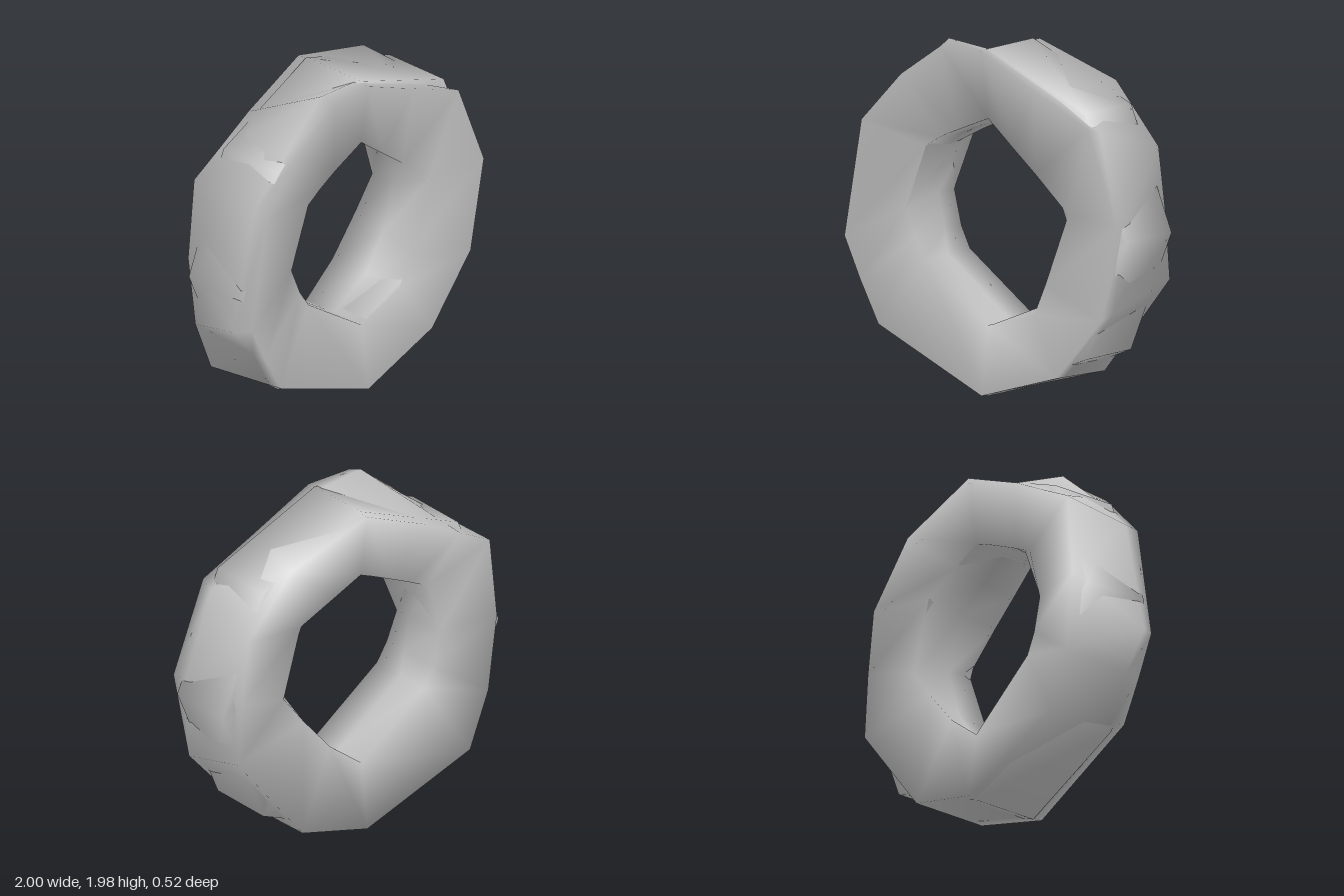
import * as THREE from 'three';

// Closed ring from cross-sections with equally many corners, listed from
// front outer through back outer and back inner to front inner.
function ring(name, sections, material) {
  const n = sections.length, s = sections[0].length;
  const index = [];
  for (let k = 0; k < n; k++) {
    const m = (k + 1) % n;
    for (let j = 0; j < s; j++) {
      const i = (j + 1) % s;
      const a = k * s + j, b = k * s + i, c = m * s + i, d = m * s + j;
      index.push(a, b, c, a, c, d);
    }
  }
  const geo = new THREE.BufferGeometry();
  geo.setAttribute('position', new THREE.Float32BufferAttribute(sections.flat(2), 3));
  geo.setIndex(index);
  geo.computeVertexNormals();
  const mesh = new THREE.Mesh(geo, material);
  mesh.name = name;
  return mesh;
}

const mix = (a, b, t) => a + (b - a) * t;

export function createModel() {
  const group = new THREE.Group();
  group.name = 'roughRing';
  const grey = new THREE.MeshStandardMaterial({ color: 0xc0c0c0 });
  grey.name = 'grey';

  // Wide irregular outer body, counter-clockwise from the bottom:
  // front outer x y, back outer x y, back inner x y, front inner x y
  const profile = [
    [0.02, 0.01, 0.02, 0.01, 0.02, 0.40, 0.02, 0.40],
    [0.55, 0.17, 0.48, 0.13, 0.24, 0.57, 0.35, 0.50],
    [0.87, 0.53, 0.94, 0.70, 0.43, 0.79, 0.43, 0.68],
    [0.98, 1.07, 0.91, 1.07, 0.57, 0.97, 0.59, 1.09],
    [0.77, 1.60, 0.86, 1.44, 0.45, 1.38, 0.36, 1.29],
    [0.40, 1.77, 0.56, 1.78, 0.20, 1.49, 0.20, 1.42],
    [0.02, 1.95, 0.02, 1.95, 0.02, 1.57, 0.02, 1.57],
    [-0.27, 1.95, -0.40, 1.77, -0.20, 1.47, -0.20, 1.48],
    [-0.55, 1.76, -0.64, 1.64, -0.33, 1.41, -0.32, 1.42],
    [-0.83, 1.47, -0.85, 1.53, -0.45, 1.35, -0.42, 1.36],
    [-0.95, 0.80, -0.90, 1.05, -0.54, 1.04, -0.56, 1.00],
    [-0.84, 0.57, -0.84, 0.60, -0.49, 0.84, -0.49, 0.83],
    [-0.71, 0.33, -0.71, 0.27, -0.43, 0.72, -0.42, 0.72],
  ];
  // Corners that bulge out of the tread, and places where the inner wall swells into the hole
  const shoulder = { 7: [-0.28, 1.98], 10: [-1.00, 0.78] };
  const swelling = { 3: [0.52, 1.02], 9: [-0.44, 1.32], 10: [-0.49, 1.06], 11: [-0.45, 0.87] };
  const rim = 0.26, lip = 0.205;
  const body = profile.map((p, k) => [
    [p[0], p[1], rim],
    [...(shoulder[k] ?? [mix(p[0], p[2], 0.17), mix(p[1], p[3], 0.17)]), 0.17],
    [p[2], p[3], -rim],
    [p[4], p[5], -lip],
    [...(swelling[k] ?? [mix(p[4], p[6], 0.5), mix(p[5], p[7], 0.5)]), 0],
    [p[6], p[7], lip],
  ]);
  group.add(ring('outerBody', body, grey));

  // Narrower octagonal core whose corners poke through the body
  const core = [];
  for (let k = 0; k < 8; k++) {
    const t = k * Math.PI / 4;
    const at = (r, z) => [0.02 + r * Math.cos(t), 0.98 + r * Math.sin(t), z];
    core.push([at(0.98, 0.2), at(0.98, -0.2), at(0.585, -0.2), at(0.585, 0.2)]);
  }
  group.add(ring('octagonCore', core, grey));

  return group;
}
